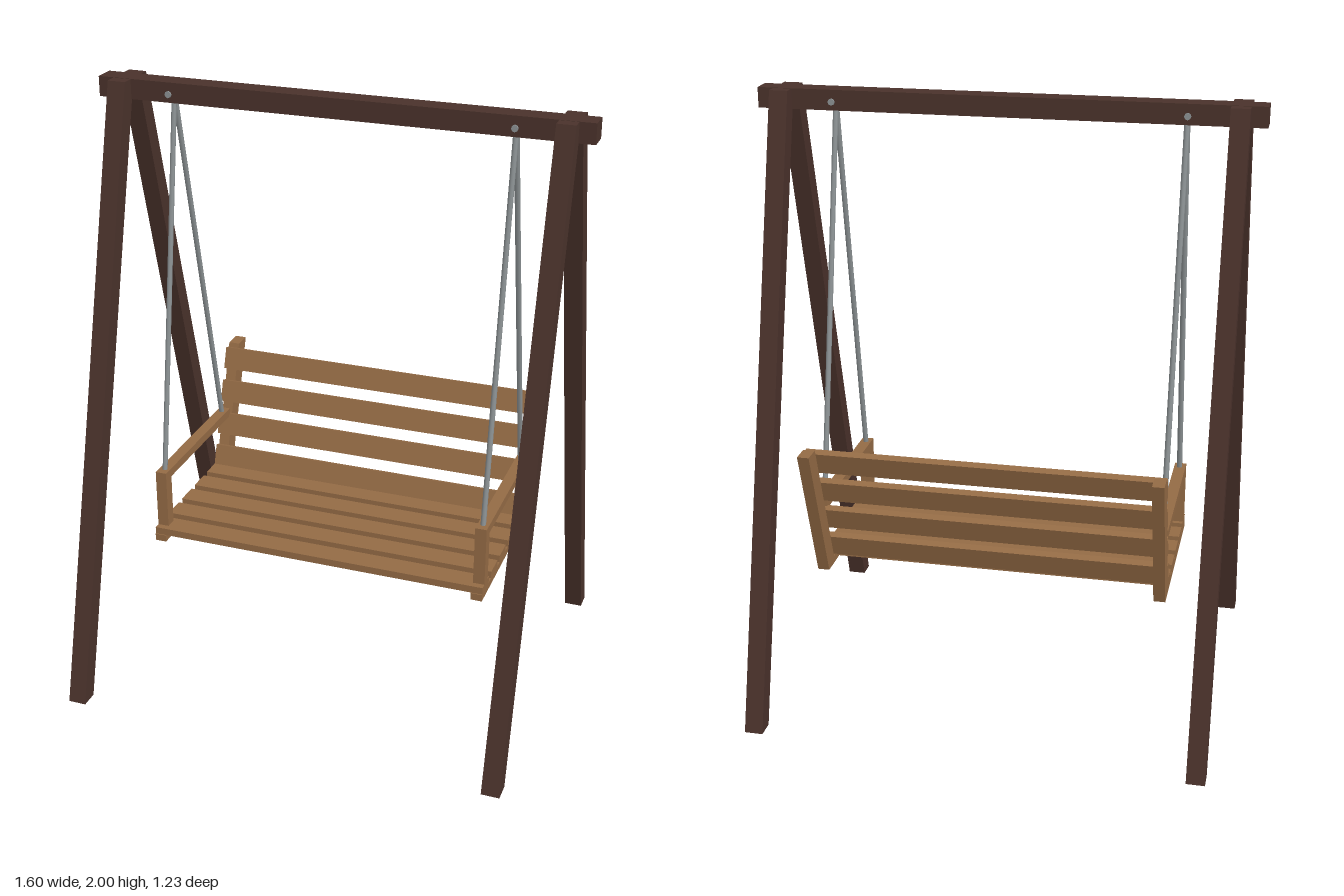
import * as THREE from 'three';

const material = (name, color) => new THREE.MeshStandardMaterial({ name, color });

export function createModel() {
  const frameWood = material('dark frame wood', 0x4a322b);
  const seatWood = material('light seat wood', 0x946b45);
  const steel = material('steel', 0x8c9294);

  const swing = new THREE.Group();
  swing.name = 'gardenSwing';
  const frame = new THREE.Group();
  frame.name = 'frame';
  const bench = new THREE.Group();
  bench.name = 'bench';
  const hangers = new THREE.Group();
  hangers.name = 'hangers';
  swing.add(frame, bench, hangers);

  const add = (parent, name, geometry, mat) => {
    const mesh = new THREE.Mesh(geometry, mat);
    mesh.name = name;
    parent.add(mesh);
    return mesh;
  };

  // Box given by its limits on each axis
  const box = (parent, name, mat, [x0, x1], [y0, y1], [z0, z1]) => {
    const mesh = add(parent, name, new THREE.BoxGeometry(x1 - x0, y1 - y0, z1 - z0), mat);
    mesh.position.set((x0 + x1) / 2, (y0 + y1) / 2, (z0 + z1) / 2);
    return mesh;
  };

  // Side profile of [z, y] points, extruded across x
  const prism = (parent, name, mat, profile, [x0, x1]) => {
    const shape = new THREE.Shape(profile.map(([z, y]) => new THREE.Vector2(z, y)));
    const geometry = new THREE.ExtrudeGeometry(shape, { depth: x1 - x0, bevelEnabled: false });
    geometry.rotateY(-Math.PI / 2).translate(x1, 0, 0);
    return add(parent, name, geometry, mat);
  };

  // Round rod between two points
  const rod = (parent, name, a, b, radius) => {
    const dir = b.clone().sub(a);
    const mesh = add(parent, name, new THREE.CylinderGeometry(radius, radius, dir.length(), 8), steel);
    mesh.position.copy(a).add(b).multiplyScalar(0.5);
    mesh.quaternion.setFromUnitVectors(new THREE.Vector3(0, 1, 0), dir.normalize());
  };

  // Top beam and the four splayed legs
  box(frame, 'topBeam', frameWood, [-0.802, 0.802], [1.935, 2], [-0.036, 0.036]);
  for (const side of [-1, 1]) {
    const x = [side * 0.72 - 0.03, side * 0.72 + 0.03];
    prism(frame, 'frontLeg', frameWood, [[0.557, 0], [0.617, 0], [0.075, 1.999], [0.015, 1.999]], x);
    prism(frame, 'backLeg', frameWood, [[-0.617, 0], [-0.557, 0], [-0.015, 1.999], [-0.075, 1.999]], x);
  }

  // Seat slats
  for (let i = 0; i < 5; i++) {
    const z = 0.213 - i * 0.107;
    box(bench, 'seatSlat', seatWood, [-0.576, 0.576], [0.489, 0.513], [z - 0.039, z + 0.039]);
  }

  // Back slats, fixed to the front of the leaning posts
  for (let i = 0; i < 4; i++) {
    const y = 0.882 - i * 0.1138;
    const slat = add(bench, 'backSlat', new THREE.BoxGeometry(1.152, 0.077, 0.025), seatWood);
    slat.position.set(0, y, -0.255 - (y - 0.465) / 3 + 0.0132);
    slat.rotation.x = -Math.atan(1 / 3);
  }

  for (const side of [-1, 1]) {
    // Rails, back posts and armrests at each end
    const x = [side * 0.557 - 0.019, side * 0.557 + 0.019];
    box(bench, 'seatRail', seatWood, x, [0.465, 0.489], [-0.29, 0.255]);
    prism(bench, 'backPost', seatWood, [[-0.318, 0.465], [-0.255, 0.465], [-0.41, 0.93], [-0.473, 0.93]], x);
    box(bench, 'armPost', seatWood, x, [0.489, 0.686], [0.19, 0.23]);
    box(bench, 'armrest', seatWood, x, [0.685, 0.714], [-0.31, 0.23]);

    // Hanging lines and the bolt through the beam
    const top = new THREE.Vector3(side * 0.556, 1.96, 0);
    for (const z of [0.2, -0.28]) {
      rod(hangers, 'hangingLine', top, new THREE.Vector3(side * 0.556, 0.705, z), 0.009);
    }
    rod(hangers, 'beamBolt', new THREE.Vector3(side * 0.56, 1.962, -0.042),
      new THREE.Vector3(side * 0.56, 1.962, 0.042), 0.011);
  }
  return swing;
}
